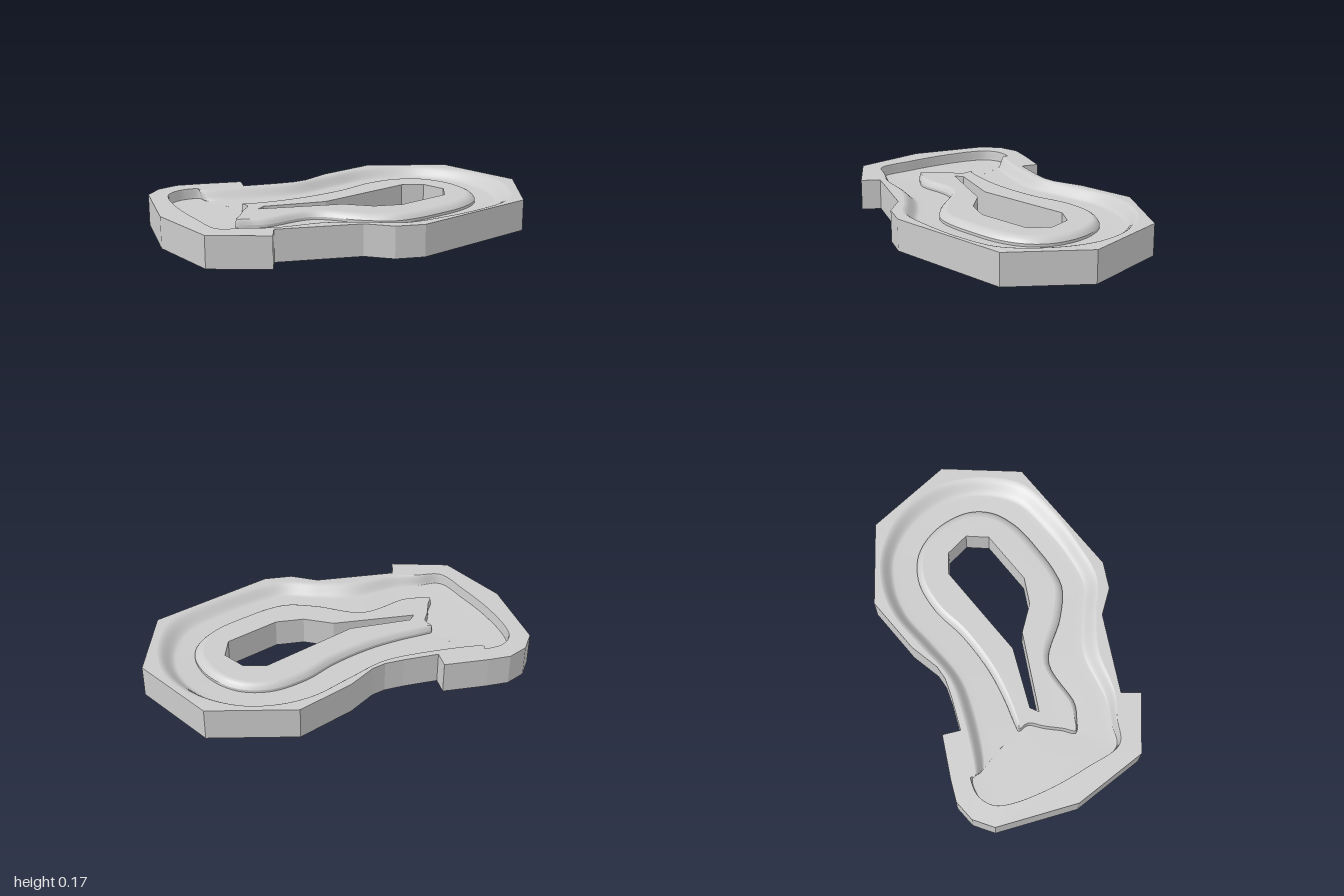
import * as THREE from 'three';

const RIM = 0.165, ISLAND = 0.147, FLOOR = 0.104, N = 168;
const V = (x, y, z) => new THREE.Vector3(x, y, z);
const material = new THREE.MeshStandardMaterial({ color: 0xcccccc, side: THREE.DoubleSide });

// Plan outlines as [x, z], clockwise seen from above
const outer = [
  [-1, -0.23], [-0.94, -0.335], [-0.84, -0.395], [-0.72, -0.403], [-0.49, -0.405], [-0.485, -0.31],
  [-0.3, -0.325], [-0.2, -0.34], [-0.13, -0.37], [0, -0.48], [0.28, -0.635], [0.73, -0.56],
  [1, -0.15], [0.9, 0.28], [0.28, 0.6], [0.13, 0.6], [-0.01, 0.53], [-0.445, 0.53],
  [-0.465, 0.632], [-0.775, 0.56], [-0.96, 0.2],
];
const hole = [
  [-0.43, 0.058], [-0.1, 0.035], [0.38, -0.22], [0.5, -0.2], [0.58, -0.09],
  [0.55, 0.03], [0.28, 0.17], [0.13, 0.17], [-0.02, 0.1], [-0.46, 0.1],
];
// Track stations: bank edge x, z, island edge x, z, share of the width taken by the bank
const stations = [
  [-0.72, -0.275, -0.5, -0.03, 0.2], [-0.4, -0.285, -0.35, -0.06, 0.28], [-0.2, -0.32, -0.18, -0.11, 0.3],
  [0, -0.435, 0.03, -0.21, 0.32], [0.2, -0.545, 0.2, -0.325, 0.32], [0.38, -0.58, 0.38, -0.385, 0.35],
  [0.57, -0.55, 0.54, -0.355, 0.35], [0.78, -0.41, 0.67, -0.23, 0.4], [0.9, -0.2, 0.73, -0.05, 0.45],
  [0.91, 0.04, 0.7, 0.08, 0.45], [0.83, 0.26, 0.6, 0.19, 0.45], [0.65, 0.39, 0.43, 0.285, 0.45],
  [0.42, 0.49, 0.3, 0.34, 0.4], [0.2, 0.55, 0.19, 0.36, 0.4], [0, 0.5, 0.03, 0.315, 0.4],
  [-0.2, 0.47, -0.2, 0.205, 0.3], [-0.43, 0.5, -0.44, 0.29, 0.25], [-0.58, 0.48, -0.52, 0.285, 0.15],
  [-0.71, 0.46, -0.595, 0.265, 0.05], [-0.79, 0.28, -0.57, 0.2, 0.025], [-0.86, 0.08, -0.54, 0.11, 0.02],
  [-0.9, -0.13, -0.51, 0.04, 0.02], [-0.89, -0.22, -0.515, 0.015, 0.02], [-0.83, -0.285, -0.525, 0, 0.02],
  [-0.74, -0.305, -0.53, -0.02, 0.03],
];

// Skin closed rings of points, listed from one edge of the surface to the other
function loft(rings, flat) {
  const n = rings[0].length, index = [];
  for (let j = 0; j < rings.length - 1; j++) {
    for (let i = 0; i < n; i++) {
      const k = (i + 1) % n, a = j * n + i, b = a + n, c = j * n + k, d = c + n;
      index.push(a, b, c, b, d, c);
    }
  }
  let g = new THREE.BufferGeometry().setFromPoints(rings.flat());
  g.setIndex(index);
  if (flat) g = g.toNonIndexed();
  g.computeVertexNormals();
  return g;
}

const ringAt = (points, y) => points.map(([x, z]) => V(x, y, z));
const planOf = (points) => points.map((p) => [p.x, p.z]);

// Level sheet with one opening
function sheet(edge, opening, y) {
  const to2D = (pts) => pts.map(([x, z]) => new THREE.Vector2(x, -z));
  const shape = new THREE.Shape(to2D(edge));
  shape.holes.push(new THREE.Path(to2D(opening)));
  return new THREE.ShapeGeometry(shape).rotateX(-Math.PI / 2).translate(0, y, 0);
}

export function createModel() {
  const group = new THREE.Group();
  const add = (name, geometry) => {
    const mesh = new THREE.Mesh(geometry, material);
    mesh.name = name;
    group.add(mesh);
  };

  // Smooth edges of the track; the y of the bank curve carries the bank share
  const bankCurve = new THREE.CatmullRomCurve3(stations.map((s) => V(s[0], s[4], s[1])), true);
  const islandCurve = new THREE.CatmullRomCurve3(stations.map((s) => V(s[2], 0, s[3])), true);
  const bank = [], inner = [], inward = [];
  for (let i = 0; i < N; i++) {
    bank.push(bankCurve.getPoint(i / N));
    inner.push(islandCurve.getPoint(i / N));
    const t = islandCurve.getTangent(i / N);
    inward.push(V(-t.z, 0, t.x));
  }

  // Banked track: an S-shaped slope down from the rim, then a gently falling lane
  const rings = [];
  for (let j = 0; j <= 12; j++) {
    const u = Math.min(j / 8, 1), lane = Math.max(0, (j - 8) / 4);
    const y = THREE.MathUtils.lerp(RIM, FLOOR + 0.006, THREE.MathUtils.smoothstep(u, 0, 1)) - 0.006 * lane;
    rings.push(bank.map((p, i) => {
      const t = p.y * u + (1 - p.y) * lane;
      return V(p.x + (inner[i].x - p.x) * t, y, p.z + (inner[i].z - p.z) * t);
    }));
  }
  add('bankedTrack', loft(rings, false));

  // Island edge: a small step, then a rounded shoulder that narrows to a plain wall at the start area
  const shoulder = [[0, FLOOR], [0, 0.118], [0.2, 0.129], [0.45, 0.139], [0.75, 0.145], [1, ISLAND]]
    .map(([s, y]) => inner.map((p, i) => V(p.x, y, p.z).addScaledVector(inward[i], 0.1 * s * bank[i].y)));
  add('islandStep', loft(shoulder.slice(0, 2), false));
  add('islandShoulder', loft(shoulder.slice(1), false));
  add('islandTop', sheet(planOf(shoulder[5]), hole, ISLAND));
  add('holeWall', loft([ringAt(hole, ISLAND), ringAt(hole, 0)], true));

  // Rim and its upright side; the underside stays open
  add('rim', sheet(outer, planOf(bank), RIM));
  add('outerWall', loft([ringAt(outer, 0), ringAt(outer, RIM)], true));

  return group;
}
